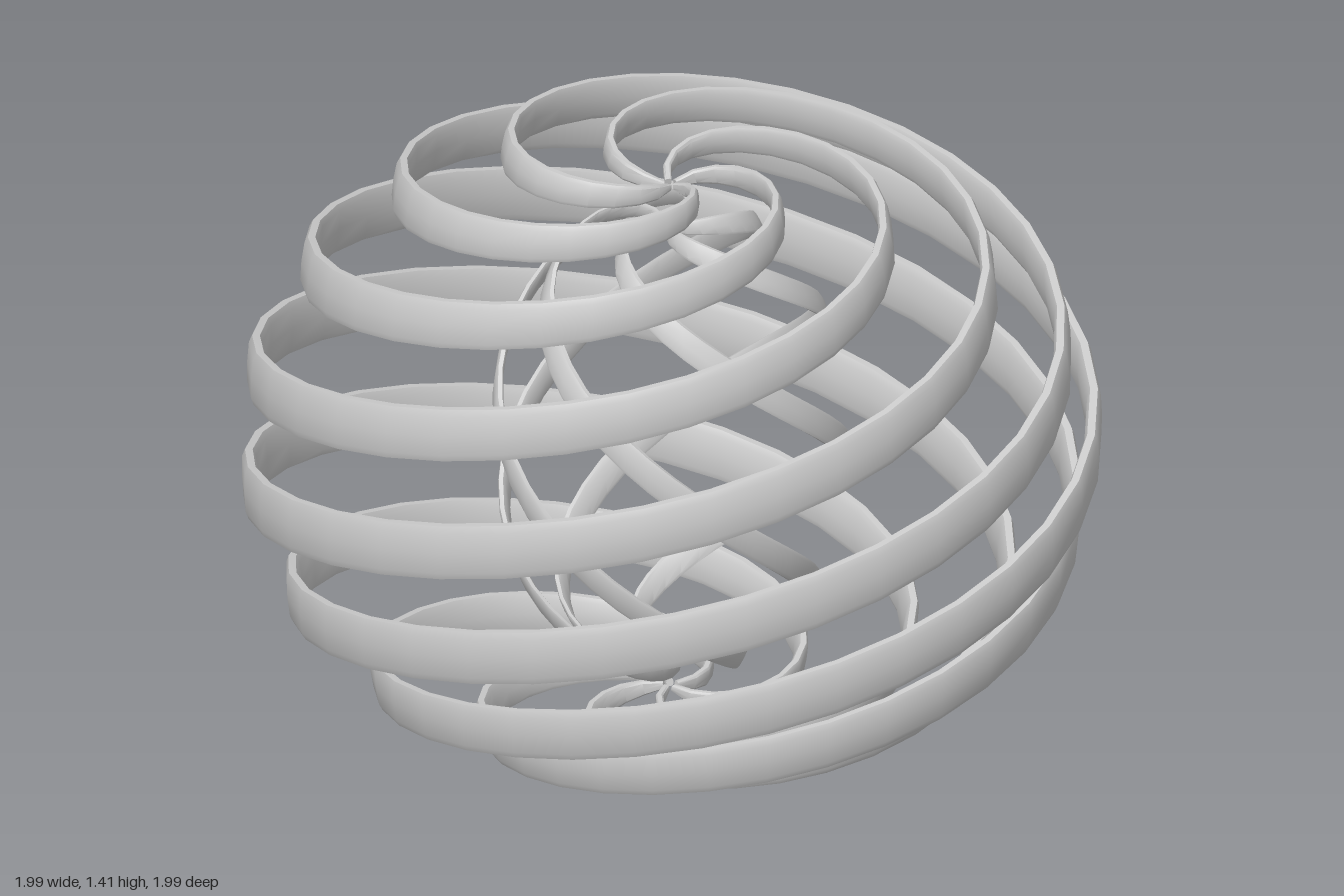
import * as THREE from 'three';
import { toCreasedNormals } from 'three/addons/utils/BufferGeometryUtils.js';

const MID = 0.705;
const ARMS = 5;

// Slim lens-like strip section: [thickness, height] factors, counter-clockwise
const SECTION = [
  [0.5, -1], [0.88, -0.75], [1, 0], [0.88, 0.75], [0.5, 1],
  [-0.5, 1], [-0.88, 0.75], [-1, 0], [-0.88, -0.75], [-0.5, -1],
];

// Upright ribbon winding from the top pole to the bottom pole of a spheroid
// with full shoulders and slightly sunken poles
function ribbonGeometry({ radius, halfHeight, twist, poleTwist, width, thickness, lean, segments }) {
  const pointAt = (t) => {
    const x = t - Math.PI / 2;
    const s = Math.sin(t);
    const phi = twist * x + poleTwist * x ** 3;
    const y = MID + halfHeight * Math.cos(t) * (0.93 + 0.29 * s - 0.125 * s * s);
    return new THREE.Vector3(radius * s * Math.cos(phi), y, radius * s * Math.sin(phi));
  };
  const up = new THREE.Vector3(0, 1, 0);
  const positions = [], index = [], n = SECTION.length;
  for (let i = 0; i <= segments; i++) {
    const t = 0.015 + (Math.PI - 0.03) * (i / segments);
    const p = pointAt(t);
    const tangent = pointAt(t + 0.002).sub(pointAt(t - 0.002)).setY(0).normalize();
    const side = up.clone().cross(tangent);
    const size = Math.sqrt(Math.sin(t));
    const radial = new THREE.Vector3(p.x, 0, p.z).normalize();
    for (const [u, v] of SECTION) {
      // the strip narrows at the poles and leans in with the spheroid
      const h = v * width * size;
      const q = p.clone()
        .addScaledVector(side, u * thickness * (0.4 + 0.6 * size))
        .addScaledVector(up, h)
        .addScaledVector(radial, -lean * h * Math.cos(t));
      positions.push(q.x, q.y, q.z);
    }
  }
  for (let i = 0; i < segments; i++) {
    for (let j = 0; j < n; j++) {
      const a = i * n + j, b = i * n + (j + 1) % n;
      index.push(a, b, a + n, b, b + n, a + n);
    }
  }
  // end caps
  const last = segments * n;
  for (let j = 1; j < n - 1; j++) {
    index.push(0, j + 1, j, last, last + j, last + j + 1);
  }
  const g = new THREE.BufferGeometry();
  g.setAttribute('position', new THREE.Float32BufferAttribute(positions, 3));
  g.setIndex(index);
  return toCreasedNormals(g, 0.6);
}

// Evenly spaced ring of identical ribbons
function cage(name, ribbonName, options, material) {
  const group = new THREE.Group();
  group.name = name;
  const geometry = ribbonGeometry(options);
  for (let k = 0; k < ARMS; k++) {
    const ribbon = new THREE.Mesh(geometry, material);
    ribbon.name = ribbonName + (k + 1);
    ribbon.rotation.y = (k * Math.PI * 2) / ARMS;
    group.add(ribbon);
  }
  return group;
}

export function createModel() {
  const model = new THREE.Group();
  model.name = 'spiralSphere';
  const material = new THREE.MeshStandardMaterial({ color: 0xcccccc });

  // Outer cage, nearly two turns
  model.add(cage('outerCage', 'outerRibbon', {
    radius: 0.984, halfHeight: 0.695, twist: 3.46, poleTwist: 0.11,
    width: 0.068, thickness: 0.018, lean: 0.2, segments: 64,
  }, material));

  // Inner cage, about one turn the other way
  model.add(cage('innerCage', 'innerRibbon', {
    radius: 0.41, halfHeight: 0.57, twist: -1.9, poleTwist: 0,
    width: 0.042, thickness: 0.01, lean: 0.6, segments: 40,
  }, material));

  return model;
}
